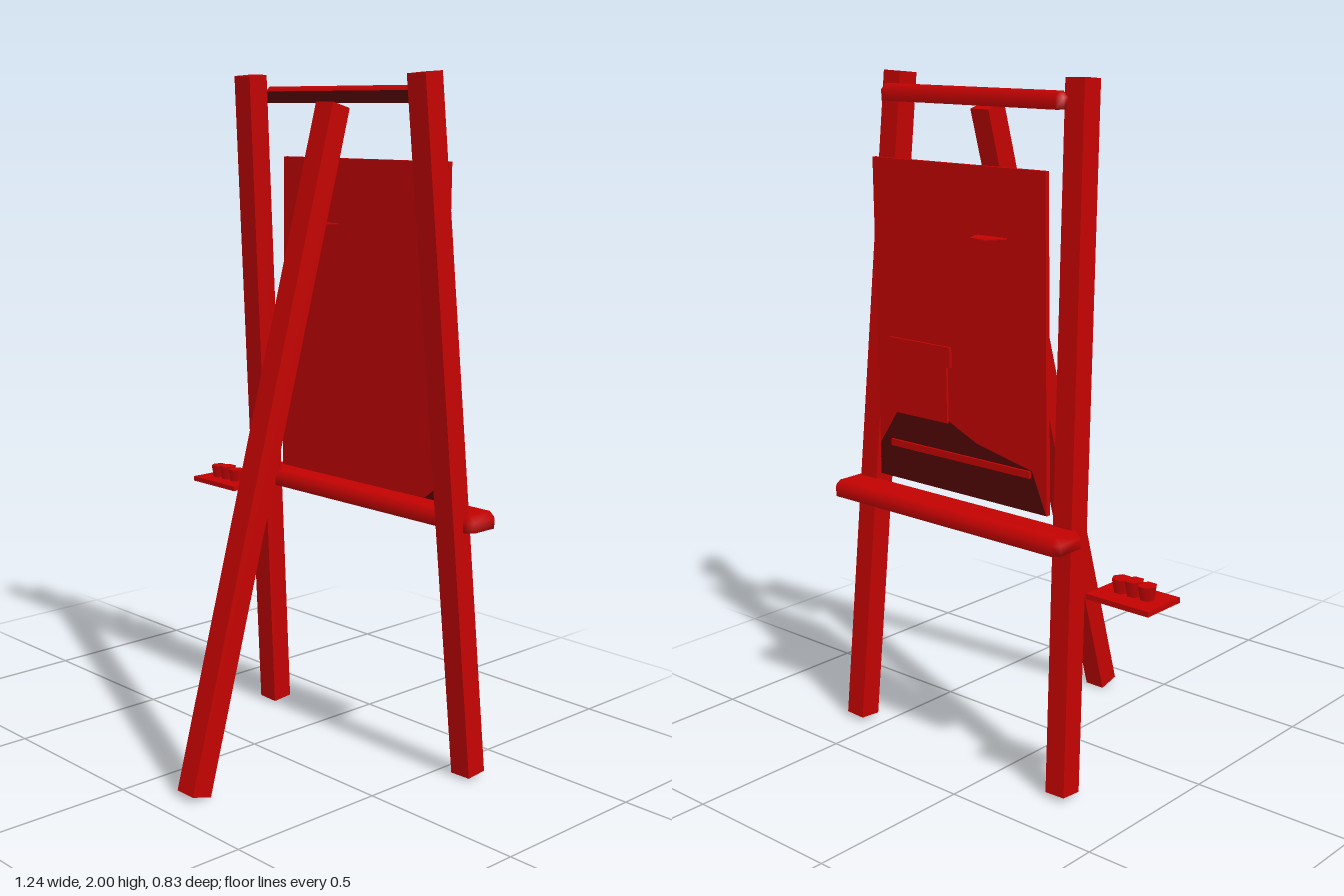
import * as THREE from 'three';
import { ConvexGeometry } from 'three/addons/geometries/ConvexGeometry.js';
import { mergeVertices } from 'three/addons/utils/BufferGeometryUtils.js';

export function createModel() {
  const model = new THREE.Group();
  model.name = 'easel';
  const red = new THREE.MeshStandardMaterial({ color: 0xc30202 });
  red.name = 'red';
  const darkRed = new THREE.MeshStandardMaterial({ color: 0x500404 });
  darkRed.name = 'darkRed';
  const midX = 0.172;

  const add = (name, geometry, x, y, z, material = red) => {
    const mesh = new THREE.Mesh(geometry, material);
    mesh.name = name;
    mesh.position.set(x, y, z);
    model.add(mesh);
    return mesh;
  };
  const box = (name, w, h, d, x, y, z, material) => add(name, new THREE.BoxGeometry(w, h, d), x, y, z, material);

  // square beam running between two points
  const beam = (name, from, to, size) => {
    const a = new THREE.Vector3(...from), b = new THREE.Vector3(...to);
    const c = a.clone().add(b).multiplyScalar(0.5);
    const mesh = box(name, size, a.distanceTo(b), size, c.x, c.y, c.z);
    mesh.quaternion.setFromUnitVectors(new THREE.Vector3(0, 1, 0), b.sub(a).normalize());
  };

  // bar with cut vertical corners and a chamfered top, softly shaded
  const chamferBar = (w, h, d, c) => {
    const pts = [];
    for (const sx of [-1, 1]) for (const sz of [-1, 1]) {
      const x = w / 2, z = d / 2;
      for (const y of [-h / 2, h / 2 - c]) {
        pts.push(new THREE.Vector3(sx * (x - c), y, sz * z));
        pts.push(new THREE.Vector3(sx * x, y, sz * (z - c)));
      }
      pts.push(new THREE.Vector3(sx * (x - c), h / 2, sz * (z - c)));
    }
    const bar = new ConvexGeometry(pts);
    bar.deleteAttribute('normal');
    const smooth = mergeVertices(bar);
    smooth.computeVertexNormals();
    return smooth;
  };

  // thin painted plate from an outline
  const plate = (name, outline, z) => {
    const shape = new THREE.Shape(outline.map(([x, y]) => new THREE.Vector2(x, y)));
    add(name, new THREE.ExtrudeGeometry(shape, { depth: 0.003, bevelEnabled: false }), 0, 0, z, darkRed);
  };

  // two splayed legs and the long prop leg
  for (const [s, name] of [[1, 'leftLeg'], [-1, 'rightLeg']]) {
    beam(name, [midX + s * 0.414, 0.012, -0.308], [midX + s * 0.346, 1.997, -0.139], 0.067);
  }
  beam('propLeg', [midX, 0.009, 0.379], [midX, 1.912, -0.141], 0.068);

  // crossbar with a dark front strip, and tray
  add('crossbar', chamferBar(0.69, 0.048, 0.05, 0.016), midX, 1.941, -0.208);
  box('crossbarFront', 0.655, 0.034, 0.003, midX, 1.934, -0.183, darkRed);
  add('tray', chamferBar(0.897, 0.048, 0.12, 0.018), midX, 0.764, -0.311);

  // canvas with its raised picture
  box('canvas', 0.66, 0.95, 0.014, midX, 1.285, -0.267);
  plate('paintedHill', [[-0.157, 0.811], [0.501, 0.811], [0.501, 0.907], [0.415, 1.03],
    [0.213, 1.02], [0.104, 0.973], [-0.106, 0.93]], -0.276);
  plate('canvasCorner', [[0.44, 0.811], [0.49, 0.811], [0.5, 0.825], [0.5, 0.86]], -0.2615);
  box('paintedWall', 0.215, 0.17, 0.008, 0.322, 1.1, -0.277);
  box('paintedRoof', 0.245, 0.06, 0.009, 0.322, 1.21, -0.2775);
  box('paintedGround', 0.55, 0.02, 0.009, midX, 0.92, -0.279);
  add('paintedSun', new THREE.CylinderGeometry(0.058, 0.058, 0.003, 6).rotateY(Math.PI / 6), 0.034, 1.57, -0.283);

  // palette board with three tapered paint cups
  box('paletteBoard', 0.206, 0.015, 0.137, -0.519, 0.6795, -0.348);
  [-0.565, -0.522, -0.479].forEach((x, i) => {
    const h = i === 1 ? 0.044 : 0.04;
    const cup = new THREE.CylinderGeometry(0.027, 0.02, h, 6).rotateY(Math.PI / 6);
    add('paintCup', cup, x, 0.686 + h / 2, -0.345);
  });

  return model;
}
